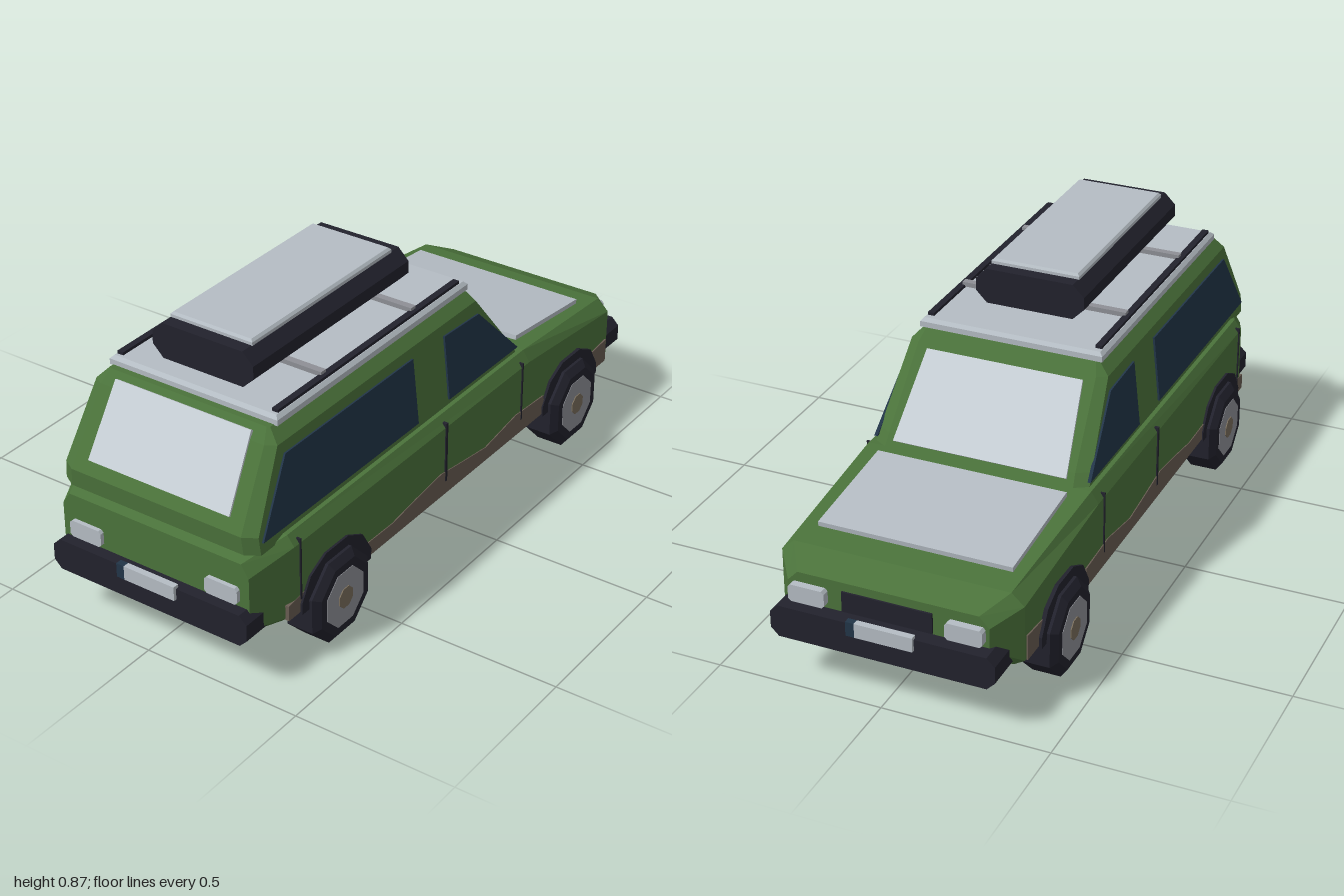
import * as THREE from 'three';

const mat = (name, color, flatShading = true) => {
  const m = new THREE.MeshStandardMaterial({ color, flatShading });
  m.name = name;
  return m;
};

export function createModel() {
  const green = mat('green paint', 0x4b733b);
  const dark = mat('dark plastic', 0x22222d);
  const silver = mat('silver', 0xb5bdc4);
  const paleGlass = mat('pale glass', 0xc8d0d6);
  const navy = mat('navy glass', 0x223548);
  const grey = mat('grey metal', 0x8e9096);
  const mud = mat('mud', 0x685c52);
  const bronze = mat('hub cap', 0x7a6e5c);

  const car = new THREE.Group();
  car.name = 'stationWagon';
  const add = (name, geo, material, parent = car) => {
    const m = new THREE.Mesh(geo, material);
    m.name = name;
    parent.add(m);
    return m;
  };
  const V = (x, y, z) => new THREE.Vector3(x, y, z);

  // Closed solid through rings that run counter-clockwise about the loft direction
  function loft(rings) {
    const pos = [], n = rings[0].length;
    const tri = (...ps) => ps.forEach(p => pos.push(p.x, p.y, p.z));
    for (let r = 0; r < rings.length - 1; r++) {
      const a = rings[r], b = rings[r + 1];
      for (let i = 0; i < n; i++) {
        const j = (i + 1) % n;
        tri(a[i], a[j], b[j]);
        tri(a[i], b[j], b[i]);
      }
    }
    const s = rings[0], e = rings[rings.length - 1];
    for (let i = 1; i < n - 1; i++) {
      tri(s[0], s[i + 1], s[i]);
      tri(e[0], e[i], e[i + 1]);
    }
    const g = new THREE.BufferGeometry();
    g.setAttribute('position', new THREE.Float32BufferAttribute(pos, 3));
    g.computeVertexNormals();
    return g;
  }
  // Thin plate raised from a convex outline
  function panel(pts, t) {
    const n = pts[1].clone().sub(pts[0]).cross(pts[2].clone().sub(pts[0])).normalize();
    return loft([-0.004, t].map(d => pts.map(p => p.clone().addScaledVector(n, d))));
  }
  const box = (x, y, z, w, h, d) => new THREE.BoxGeometry(w, h, d).translate(x, y, z);
  // Rectangle with cut corners, pushed along z
  function cutBlock(cx, hw, y0, y1, c, z0, z1) {
    const ring = z => [
      [hw - c, y0], [hw, y0 + c], [hw, y1 - c], [hw - c, y1],
      [c - hw, y1], [-hw, y1 - c], [-hw, y0 + c], [c - hw, y0]
    ].map(([x, y]) => V(cx + x, y, z));
    return loft([ring(Math.min(z0, z1)), ring(Math.max(z0, z1))]);
  }
  // Outline in (z, y) pushed along x on both sides of the body
  function sideSlabs(name, pts, x0, x1, material) {
    const shape = new THREE.Shape(pts.map(([z, y]) => new THREE.Vector2(-z, y)));
    for (const s of [1, -1]) {
      const g = new THREE.ExtrudeGeometry(shape, { depth: x1 - x0, bevelEnabled: false });
      g.rotateY(Math.PI / 2).translate(s > 0 ? x0 : -x1, 0, 0);
      add(name, g, material);
    }
  }

  // Lower body: z, floor half width, floor y, half width, shoulder y, top half width, top y
  const stations = [
    [-0.945, 0.27, 0.21, 0.30, 0.30, 0.27, 0.332],
    [-0.86, 0.33, 0.145, 0.363, 0.335, 0.325, 0.37],
    [-0.37, 0.347, 0.145, 0.37, 0.385, 0.347, 0.42],
    [0.82, 0.347, 0.145, 0.37, 0.385, 0.347, 0.416],
    [0.955, 0.30, 0.155, 0.32, 0.34, 0.295, 0.378]
  ];
  add('lowerBody', loft(stations.map(([z, hb, y0, w, ys, ht, yt]) => [
    V(hb, y0, z), V(w, y0 + 0.02, z), V(w, ys, z), V(ht, yt, z),
    V(-ht, yt, z), V(-w, ys, z), V(-w, y0 + 0.02, z), V(-hb, y0, z)
  ])), green);

  // Cabin: y, half width, windscreen z, tailgate z, corner cut
  const layers = [
    [0.40, 0.335, -0.385, 0.942, 0.04],
    [0.455, 0.33, -0.35, 0.945, 0.04],
    [0.67, 0.307, -0.175, 0.82, 0.03],
    [0.707, 0.272, -0.145, 0.79, 0.008]
  ];
  add('cabin', loft(layers.map(([y, w, f, r, c]) => [
    V(w, y, r - c * 0.6), V(w, y, f + c * 0.6), V(w - c, y, f), V(c - w, y, f),
    V(-w, y, f + c * 0.6), V(-w, y, r - c * 0.6), V(c - w, y, r), V(w - c, y, r)
  ])), green);

  // Side windows follow the lean of the cabin walls
  const wallX = y => 0.33 - (y - 0.455) * 0.107;
  const windows = {
    rearSideWindow: [[0.91, 0.435], [0.18, 0.435], [0.18, 0.638], [0.78, 0.638]],
    frontSideWindow: [[0.02, 0.435], [-0.352, 0.435], [-0.16, 0.628], [0.02, 0.636]]
  };
  for (const [name, pts] of Object.entries(windows)) {
    for (const s of [1, -1]) {
      const p = pts.map(([z, y]) => V(s * wallX(y), y, z));
      add(name, panel(s > 0 ? p : p.reverse(), 0.006), navy);
    }
  }

  // Windscreen, rear window and bonnet panel
  add('windscreen', panel([
    V(0.27, 0.438, -0.363), V(-0.27, 0.438, -0.363), V(-0.243, 0.658, -0.185), V(0.243, 0.658, -0.185)
  ], 0.006), paleGlass);
  add('rearWindow', panel([
    V(-0.241, 0.49, 0.925), V(0.241, 0.49, 0.925), V(0.23, 0.693, 0.807), V(-0.23, 0.693, 0.807)
  ], 0.006), paleGlass);
  add('bonnetPanel', panel([
    V(0.293, 0.416, -0.415), V(0.293, 0.379, -0.778), V(-0.293, 0.379, -0.778), V(-0.293, 0.416, -0.415)
  ], 0.014), silver);

  // Roof panel with a slightly narrower top
  add('roofPanel', loft([[0.705, 0.284, 0], [0.722, 0.284, 0], [0.732, 0.274, 0.01]].map(([y, w, i]) => [
    V(w, y, 0.77 - i), V(w, y, -0.148 + i), V(-w, y, -0.148 + i), V(-w, y, 0.77 - i)
  ])), silver);

  // Roof rack and luggage box
  for (const s of [1, -1]) add('roofRail', box(s * 0.262, 0.735, 0.315, 0.02, 0.012, 0.87), dark);
  for (const z of [0.53, 0.098]) add('crossbar', box(0, 0.743, z, 0.52, 0.014, 0.022), grey);
  add('roofBox', cutBlock(0, 0.17, 0.749, 0.857, 0.035, -0.01, 0.72), dark);
  add('roofBoxLid', loft([[0.856, 0.138, 0], [0.866, 0.138, 0], [0.873, 0.131, 0.006]].map(([y, w, i]) => [
    V(w, y, 0.68 - i), V(w, y, 0.03 + i), V(-w, y, 0.03 + i), V(-w, y, 0.68 - i)
  ])), silver);

  // Bumpers, lights and plates at both ends
  for (const s of [1, -1]) {
    add(s > 0 ? 'rearBumper' : 'frontBumper', cutBlock(0, 0.335, 0.142, 0.24, 0.024, s * 0.85, s * 0.99), dark);
    for (const x of [0.234, -0.234]) {
      add(s > 0 ? 'tailLight' : 'headlight', cutBlock(x, 0.055, 0.25, 0.302, 0.008, s * 0.93, s * 0.968), silver);
    }
    add('plate', box(s * 0.013, 0.228, s * 0.99, 0.173, 0.044, 0.02), silver);
    add('plateStrip', box(s * -0.0865, 0.228, s * 0.99, 0.026, 0.044, 0.02), navy);
  }
  add('grille', box(0, 0.275, -0.945, 0.27, 0.062, 0.012), dark);

  // Mud along the sills
  sideSlabs('sillMud', [
    [0.49, 0.163], [-0.47, 0.163], [-0.46, 0.225], [-0.30, 0.235], [-0.13, 0.208],
    [-0.02, 0.222], [0.11, 0.24], [0.24, 0.225], [0.36, 0.208], [0.49, 0.21]
  ], 0.33, 0.373, mud);
  sideSlabs('rearMud', [[0.85, 0.163], [0.77, 0.163], [0.77, 0.222], [0.85, 0.21]], 0.33, 0.371, mud);
  sideSlabs('frontMud', [[-0.75, 0.163], [-0.85, 0.163], [-0.85, 0.24], [-0.75, 0.232]], 0.33, 0.368, mud);

  // Door gaps
  for (const [z, w] of [[0.795, 0.006], [0.085, 0.01], [-0.33, 0.006]]) {
    sideSlabs('doorGap', [[z - w / 2, 0.205], [z + w / 2, 0.205], [z + w / 2, 0.4], [z - w / 2, 0.4]], 0.355, 0.3735, dark);
  }

  // Wheel arches and wheels
  const lathe = pts => new THREE.LatheGeometry(pts.map(p => new THREE.Vector2(...p)), 8, Math.PI / 8);
  const tyre = lathe([[0, -0.059], [0.118, -0.059], [0.142, -0.042], [0.142, 0.042], [0.118, 0.059], [0, 0.059]]);
  const disc = (r, y0, y1) => lathe([[0, y0], [r, y0], [r, y1], [0, y1]]);
  for (const z of [0.635, -0.615]) {
    sideSlabs('wheelArch', [
      [-0.163, 0.155], [-0.163, 0.19], [-0.122, 0.258], [-0.052, 0.293],
      [0.052, 0.293], [0.122, 0.258], [0.163, 0.19], [0.163, 0.155]
    ].map(([dz, y]) => [z + dz, y]), 0.3, 0.377, dark);
    for (const s of [1, -1]) {
      const wheel = new THREE.Group();
      wheel.name = 'wheel';
      add('tyre', tyre, dark, wheel);
      add('rim', disc(0.092, 0.05, 0.0605), grey, wheel);
      add('hubCap', disc(0.034, 0.05, 0.0635), bronze, wheel);
      wheel.rotation.z = -s * Math.PI / 2;
      wheel.position.set(s * 0.344, 0.131, z);
      car.add(wheel);
    }
  }
  return car;
}
